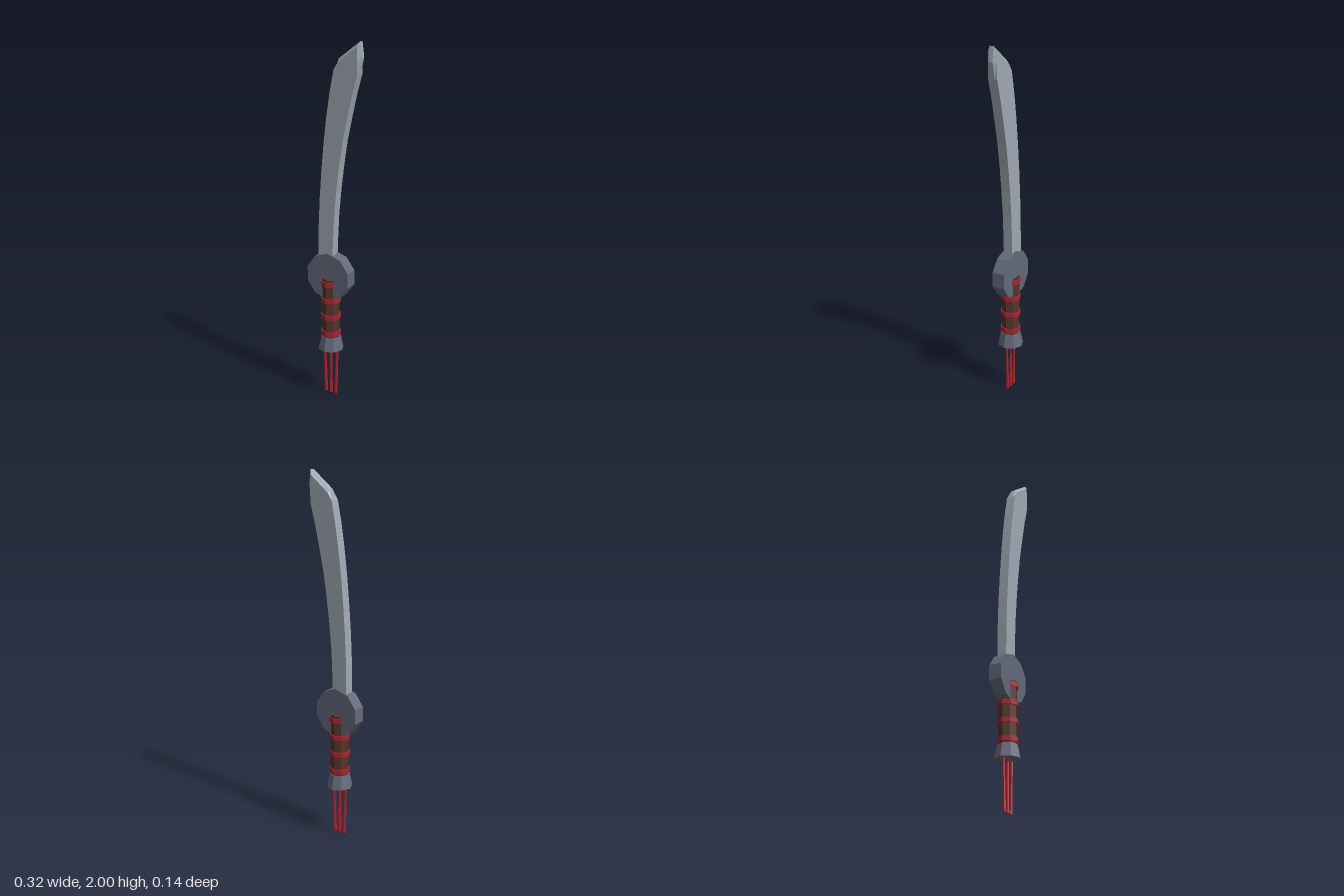
import * as THREE from 'three';

const material = (name, color) => {
  const m = new THREE.MeshStandardMaterial({ color });
  m.name = name;
  return m;
};

export function createModel() {
  const steel = material('blade steel', 0xa0a8b3);
  const iron = material('dark iron', 0x636979);
  const wood = material('brown grip', 0x55332a);
  const red = material('red cord', 0xa8242e);

  const group = new THREE.Group();
  const axisX = -0.032; // centre line of guard and grip

  const add = (name, geometry, mat, x = 0, y = 0, z = 0) => {
    const flat = geometry.index ? geometry.toNonIndexed() : geometry;
    flat.computeVertexNormals();
    const mesh = new THREE.Mesh(flat, mat);
    mesh.name = name;
    mesh.position.set(x, y, z);
    group.add(mesh);
    return mesh;
  };

  // Blade: curved outline, extruded in three layers
  const edge = [[-0.008, 0.75], [-0.003, 0.9], [0.004, 1.05], [0.018, 1.2], [0.034, 1.33],
    [0.055, 1.47], [0.083, 1.6], [0.11, 1.72], [0.14, 1.83]];
  const tip = [[0.159, 1.92], [0.148, 2.0], [0.024, 1.905]];
  const spine = [[0.002, 1.85], [-0.022, 1.73], [-0.042, 1.6], [-0.06, 1.45], [-0.074, 1.3],
    [-0.085, 1.15], [-0.092, 1.0], [-0.094, 0.85], [-0.094, 0.75]];
  const outline = new THREE.Shape([...edge, ...tip, ...spine].map(p => new THREE.Vector2(...p)));
  const blade = new THREE.ExtrudeGeometry(outline, { depth: 3, steps: 3, bevelEnabled: false });

  // Draw the tip corners in on the outer layers to bevel the point
  const inset = [[0.141, 1.91], [0.138, 1.975], [0.027, 1.888]];
  const layerZ = [-0.027, -0.012, 0.012, 0.027];
  const pos = blade.attributes.position;
  for (let i = 0; i < pos.count; i++) {
    const layer = Math.round(pos.getZ(i));
    pos.setZ(i, layerZ[layer]);
    if (layer === 1 || layer === 2) continue;
    const k = tip.findIndex(([x, y]) => Math.hypot(pos.getX(i) - x, pos.getY(i) - y) < 0.001);
    if (k >= 0) pos.setXY(i, inset[k][0], inset[k][1]);
  }
  add('blade', blade, steel);

  // Ten-sided guard standing on edge
  const guard = new THREE.CylinderGeometry(0.134, 0.134, 0.072, 10).rotateX(-Math.PI / 2);
  add('guard', guard, iron, axisX, 0.712, 0);

  // Eight-sided grip with cord bands
  add('grip', new THREE.CylinderGeometry(0.05, 0.05, 0.36, 8), wood, axisX, 0.515, 0);
  for (const y of [0.375, 0.475, 0.572, 0.67]) {
    add('gripBand', new THREE.CylinderGeometry(0.057, 0.057, 0.026, 8), red, axisX, y, 0);
  }

  // Flared pommel
  add('pommel', new THREE.CylinderGeometry(0.055, 0.072, 0.076, 8), iron, axisX, 0.314, 0);
  add('tasselKnot', new THREE.CylinderGeometry(0.018, 0.014, 0.014, 8), red, axisX, 0.271, 0);

  // Three hanging tassel cords, converging slightly downwards
  for (const side of [-1, 0, 1]) {
    const top = new THREE.Vector3(axisX + side * 0.041, 0.285, 0);
    const bottom = new THREE.Vector3(axisX + side * 0.031, 0, 0);
    const cord = new THREE.CylinderGeometry(0.007, 0.01, top.distanceTo(bottom), 6);
    const mesh = add('tasselCord', cord, red);
    mesh.position.copy(top).add(bottom).multiplyScalar(0.5);
    mesh.quaternion.setFromUnitVectors(new THREE.Vector3(0, 1, 0), top.clone().sub(bottom).normalize());
  }

  return group;
}
